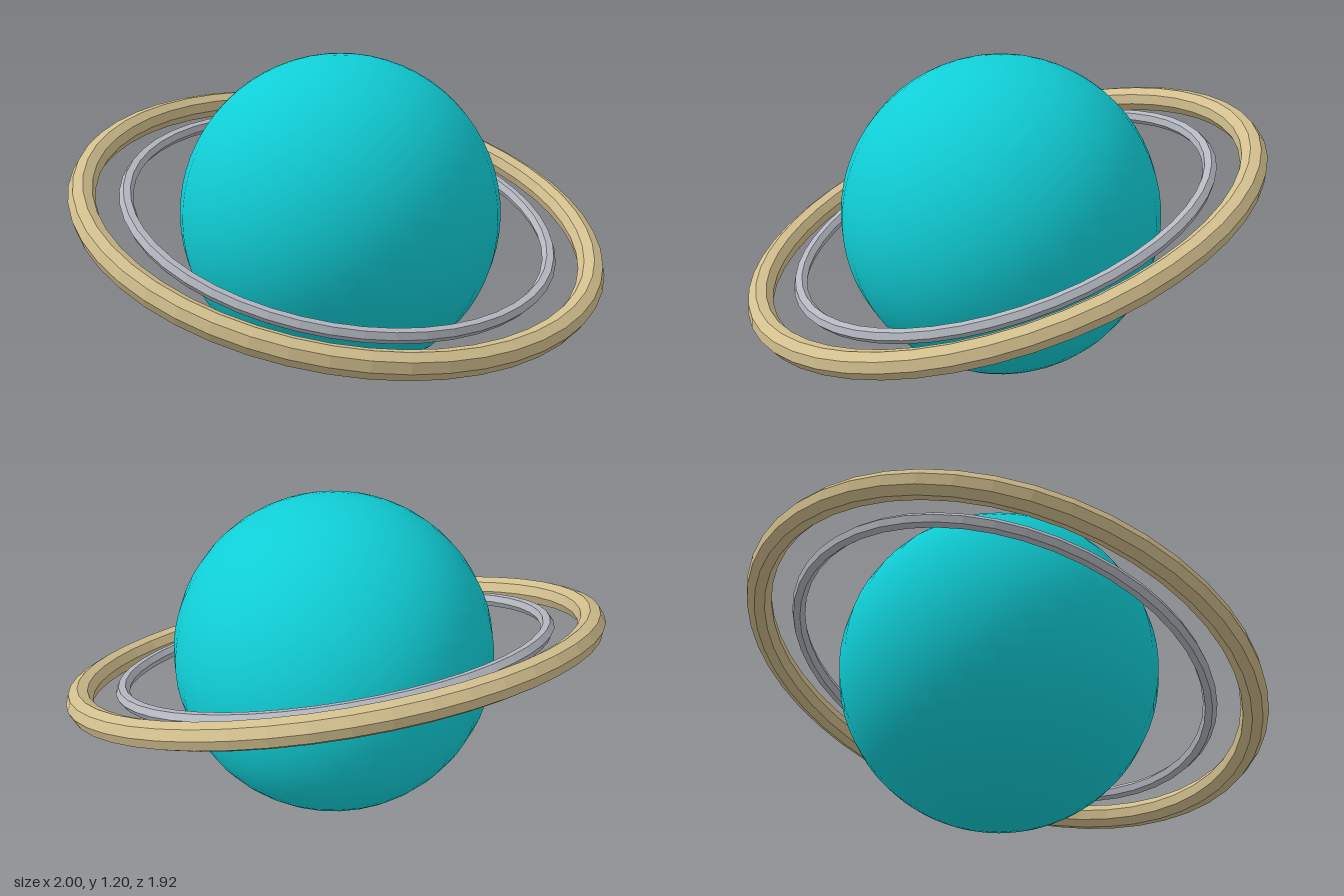
import * as THREE from 'three';

const material = (name, color, flatShading = false) => {
  const m = new THREE.MeshStandardMaterial({ color, flatShading });
  m.name = name;
  return m;
};

// Faceted ring lying flat around the y axis
function makeRing(name, radius, tube, sides, mat) {
  const geometry = new THREE.TorusGeometry(radius, tube, sides, 48);
  geometry.rotateX(Math.PI / 2);
  const ring = new THREE.Mesh(geometry, mat);
  ring.name = name;
  return ring;
}

export function createModel() {
  const model = new THREE.Group();
  model.name = 'ringedPlanet';

  // Smooth globe
  const globe = new THREE.Mesh(
    new THREE.SphereGeometry(0.6, 32, 32),
    material('turquoise', 0x10ced6)
  );
  globe.name = 'planet';
  globe.position.y = 0.6;
  model.add(globe);

  // Two concentric rings sharing one tilt
  const rings = new THREE.Group();
  rings.name = 'rings';
  rings.position.y = 0.6;
  rings.rotation.set(0.32, 0, -0.14);
  rings.add(
    makeRing('outerRing', 0.96, 0.05, 8, material('sand', 0xd2bf8e, true)),
    makeRing('innerRing', 0.8, 0.026, 6, material('silver', 0xb4b7c0, true))
  );
  model.add(rings);

  return model;
}
